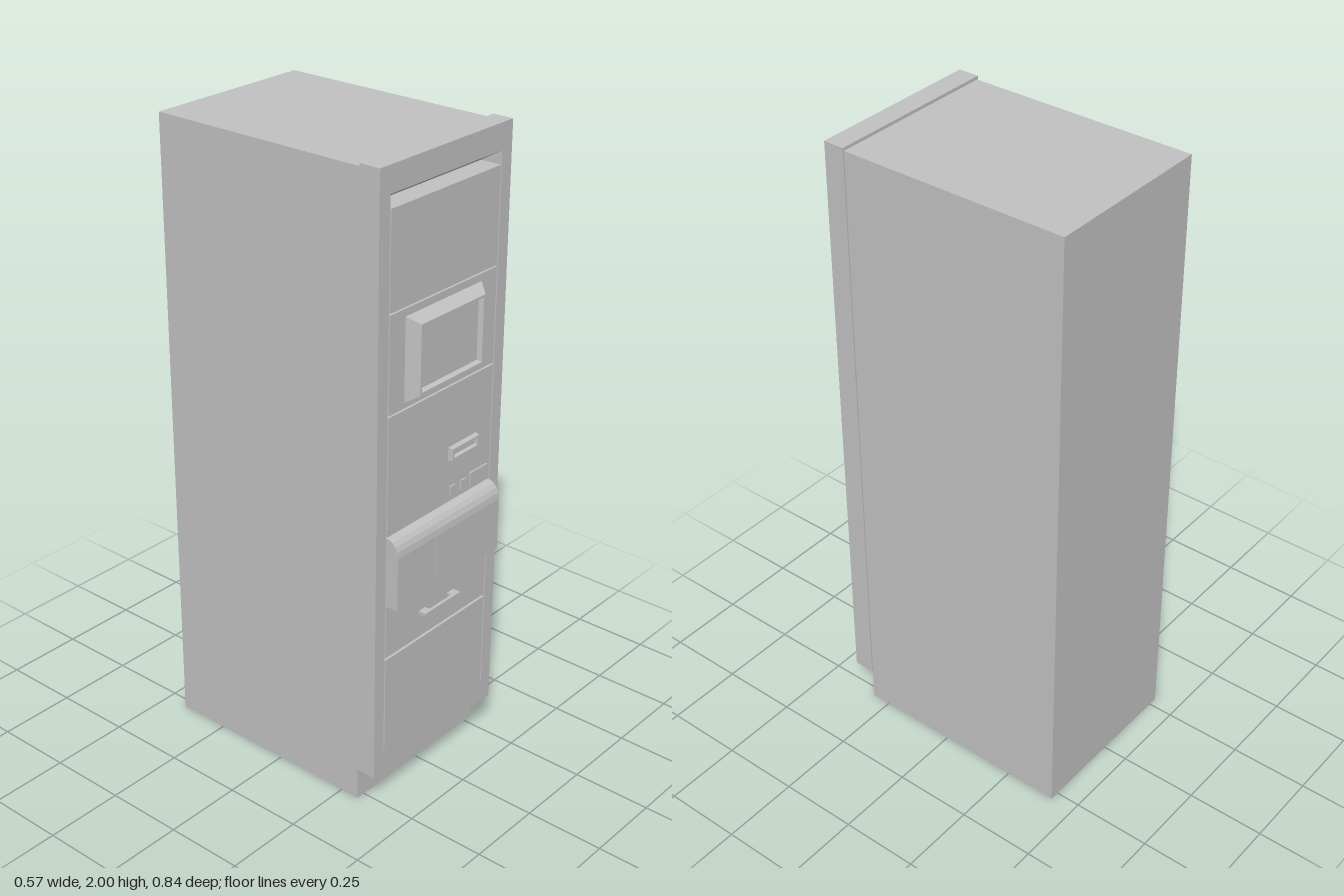
import * as THREE from 'three';

export function createModel() {
  const root = new THREE.Group();
  root.name = 'serviceKiosk';
  const grey = new THREE.MeshStandardMaterial({ color: 0xc0c0c0 });
  grey.name = 'cabinet grey';
  const FRONT = 0.38, BACK = 0.313;

  function add(name, geometry, x = 0, y = 0, z = 0) {
    const mesh = new THREE.Mesh(geometry, grey);
    mesh.name = name;
    mesh.position.set(x, y, z);
    root.add(mesh);
    return mesh;
  }
  // box given by its limits on each axis
  function box(name, x0, x1, y0, y1, z0, z1) {
    return add(name, new THREE.BoxGeometry(x1 - x0, y1 - y0, z1 - z0),
      (x0 + x1) / 2, (y0 + y1) / 2, (z0 + z1) / 2);
  }
  function rect(Type, x0, x1, y0, y1) {
    return new Type([[x0, y0], [x1, y0], [x1, y1], [x0, y1]]
      .map(p => new THREE.Vector2(...p)));
  }
  // (z, y) profile swept along x
  function sweep(name, profile, x0, x1) {
    const shape = new THREE.Shape(profile.map(([z, y]) => new THREE.Vector2(-z, y)));
    const g = new THREE.ExtrudeGeometry(shape, { depth: x1 - x0, bevelEnabled: false });
    g.rotateY(Math.PI / 2);
    return add(name, g, x0);
  }
  // nested rectangles [x0, x1, y0, y1, z] joined by flat strips, last one capped
  function steppedFrame(name, rings) {
    const pos = [];
    const corners = ([x0, x1, y0, y1, z]) => [[x0, y0, z], [x1, y0, z], [x1, y1, z], [x0, y1, z]];
    const quad = (a, b, c, d) => pos.push(...a, ...b, ...c, ...a, ...c, ...d);
    for (let i = 0; i + 1 < rings.length; i++) {
      const a = corners(rings[i]), b = corners(rings[i + 1]);
      for (let k = 0; k < 4; k++) quad(a[k], a[(k + 1) % 4], b[(k + 1) % 4], b[k]);
    }
    quad(...corners(rings[rings.length - 1]));
    const g = new THREE.BufferGeometry();
    g.setAttribute('position', new THREE.Float32BufferAttribute(pos, 3));
    g.computeVertexNormals();
    return add(name, g);
  }

  // cabinet with set-back plinth
  box('cabinetBody', -0.28, 0.28, 0, 1.99, -0.42, BACK);

  // front surround with one tall opening
  const surround = rect(THREE.Shape, -0.284, 0.284, 0.11, 2);
  surround.holes.push(rect(THREE.Path, -0.241, 0.241, 0.19, 1.921));
  add('frontSurround', new THREE.ExtrudeGeometry(surround, { depth: FRONT - BACK, bevelEnabled: false }), 0, 0, BACK);

  // door panels, separated by narrow gaps
  const panels = [
    ['lowerDoor', 0.19, 0.5],
    ['drawerPanel', 0.509, 0.905],
    ['controlPanel', 0.911, 1.282],
    ['screenPanel', 1.288, 1.583],
    ['upperDoor', 1.588, 1.88],
  ];
  for (const [name, y0, y1] of panels) box(name, -0.236, 0.236, y0, y1, BACK, FRONT);

  // sloped ceiling of the lamp niche above the upper door
  sweep('nicheCeiling', [[BACK, 1.881], [FRONT, 1.921], [BACK, 1.921]], -0.241, 0.241);

  // screen housing with sloped sides and sunken display
  steppedFrame('screenHousing', [
    [-0.17, 0.166, 1.305, 1.56, FRONT],
    [-0.15, 0.146, 1.322, 1.543, 0.407],
    [-0.144, 0.14, 1.327, 1.538, 0.415],
    [-0.137, 0.133, 1.334, 1.531, 0.415],
    [-0.131, 0.127, 1.339, 1.526, 0.401],
  ]);

  // card reader with slot
  steppedFrame('cardReader', [
    [0.035, 0.165, 1.046, 1.09, FRONT],
    [0.038, 0.162, 1.05, 1.087, 0.395],
    [0.046, 0.155, 1.057, 1.08, 0.395],
    [0.048, 0.153, 1.06, 1.077, 0.385],
  ]);

  // small buttons and receipt plate
  for (const x of [0.045, 0.095]) box('button', x, x + 0.025, 0.93, 0.96, FRONT, 0.385);
  box('receiptPlate', 0.14, 0.22, 0.925, 0.968, FRONT, 0.386);

  // tray cover with rounded top
  sweep('trayCover', [
    [FRONT, 0.685], [0.421, 0.685], [0.421, 0.855], [0.418, 0.875],
    [0.411, 0.89], [0.4, 0.902], [FRONT, 0.91],
  ], -0.237, 0.237);
  sweep('trayFlap', [
    [0.415, 0.712], [0.423, 0.712], [0.423, 0.857], [0.42, 0.876], [0.415, 0.885],
  ], -0.062, 0.168);

  // drawer handle on two feet
  box('drawerHandle', -0.085, 0.08, 0.588, 0.599, 0.396, 0.406);
  for (const x of [-0.085, 0.05]) box('handleFoot', x, x + 0.03, 0.588, 0.599, FRONT, 0.397);

  return root;
}
